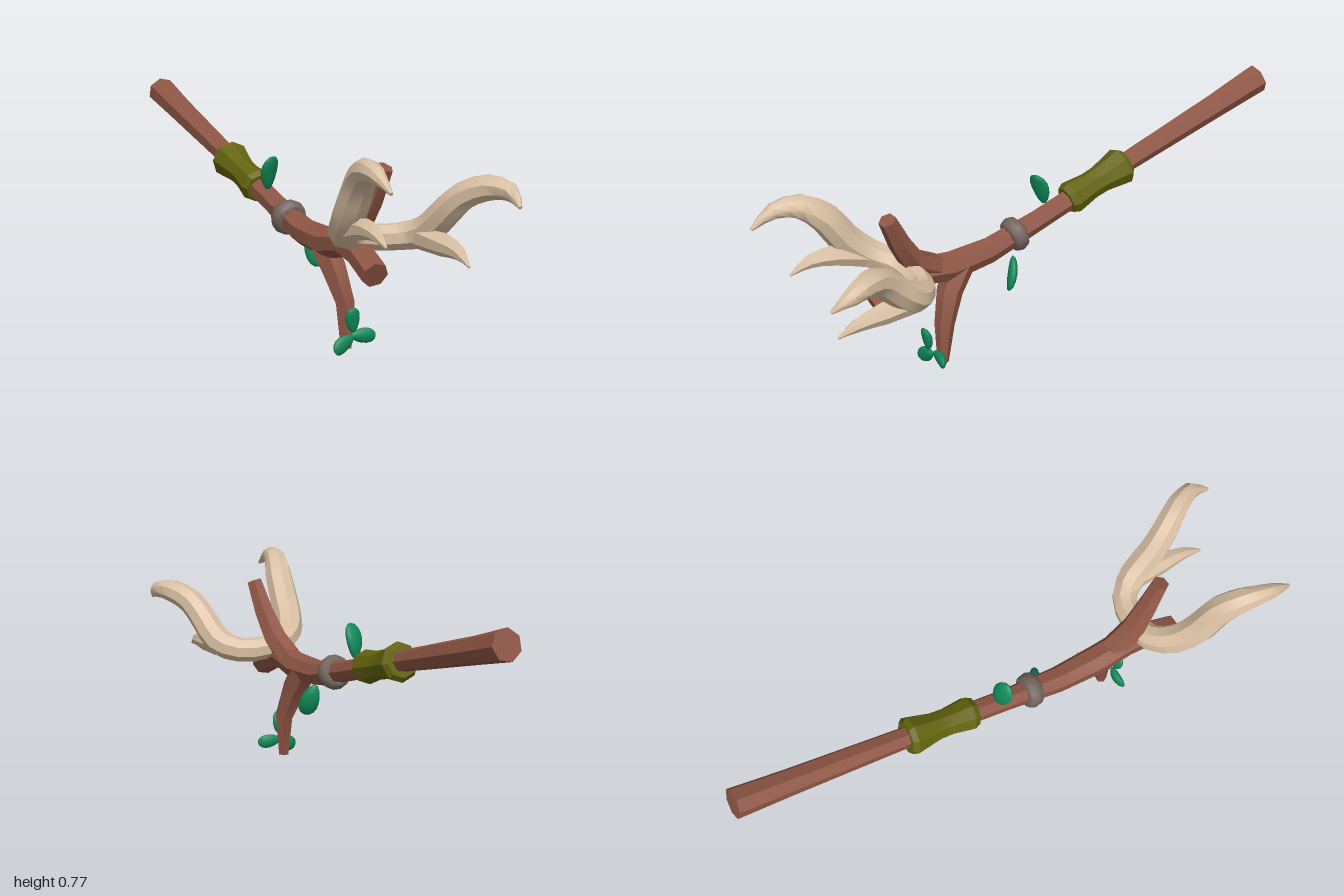
import * as THREE from 'three';
import { toCreasedNormals } from 'three/addons/utils/BufferGeometryUtils.js';

const mat = (name, color) => new THREE.MeshStandardMaterial({ name, color });

// Tapered limb: cross-section loops swept along [x, y, z, radius] points
function limb(points, sides, crease, steps = 1) {
  const curve = new THREE.CatmullRomCurve3(points.map(p => new THREE.Vector3(p[0], p[1], p[2])));
  const count = (points.length - 1) * steps;
  const pos = [], index = [];
  const normal = new THREE.Vector3(1, 0, 0.01), side = new THREE.Vector3();
  for (let i = 0; i <= count; i++) {
    const t = i / count;
    const k = Math.min(Math.floor(i / steps), points.length - 2);
    const r = THREE.MathUtils.lerp(points[k][3], points[k + 1][3], i / steps - k);
    const c = curve.getPoint(t), tangent = curve.getTangent(t);
    if (i === 0 && Math.abs(tangent.x) > 0.8) normal.set(0, 1, 0);
    normal.addScaledVector(tangent, -normal.dot(tangent)).normalize();
    side.crossVectors(tangent, normal);
    for (let j = 0; j < sides; j++) {
      const a = (j / sides) * Math.PI * 2;
      const v = c.clone().addScaledVector(normal, r * Math.cos(a)).addScaledVector(side, r * Math.sin(a));
      pos.push(v.x, v.y, v.z);
    }
  }
  for (let i = 0; i < count; i++) {
    for (let j = 0; j < sides; j++) {
      const n = (j + 1) % sides, a = i * sides, b = a + sides;
      index.push(a + j, a + n, b + n, a + j, b + n, b + j);
    }
  }
  // End caps
  const last = count * sides;
  for (let j = 1; j < sides - 1; j++) {
    index.push(0, j + 1, j, last, last + j, last + j + 1);
  }
  const g = new THREE.BufferGeometry();
  g.setAttribute('position', new THREE.Float32BufferAttribute(pos, 3));
  g.setIndex(index);
  return toCreasedNormals(g, crease);
}

// Plump leaf growing along +y, narrow at the base and slightly curled
function leafGeometry(width, length, thick, curl) {
  const g = new THREE.SphereGeometry(1, 12, 8);
  const p = g.attributes.position;
  for (let i = 0; i < p.count; i++) {
    const y = p.getY(i), taper = 0.85 + 0.2 * y;
    p.setXYZ(i, p.getX(i) * width / 2 * taper, y * length / 2,
      p.getZ(i) * thick / 2 + curl * (y * y - 0.5));
  }
  g.computeVertexNormals();
  return g;
}

export function createModel() {
  const model = new THREE.Group();
  model.name = 'branchStaff';
  const wood = mat('wood', 0x8f5645);
  const bone = mat('bone', 0xd8bfa2);
  const olive = mat('oliveWrap', 0x64640e);
  const green = mat('leafGreen', 0x0f8a5a);
  const grey = mat('greyBand', 0x75665f);

  const add = (name, geometry, material) => {
    const m = new THREE.Mesh(geometry, material);
    m.name = name;
    model.add(m);
    return m;
  };

  // Wooden shaft and its forks
  add('shaft', limb([
    [-0.09, 0.722, -0.983, 0.053], [-0.09, 0.665, -0.8, 0.046], [-0.09, 0.54, -0.38, 0.037],
    [-0.09, 0.42, 0, 0.038], [-0.09, 0.365, 0.2, 0.046], [-0.085, 0.355, 0.36, 0.052],
    [-0.08, 0.375, 0.47, 0.05], [-0.08, 0.35, 0.56, 0.045], [-0.085, 0.305, 0.66, 0.045],
  ], 7, 0.5), wood);
  add('upperFork', limb([
    [-0.08, 0.375, 0.42, 0.046], [-0.065, 0.43, 0.51, 0.046],
    [-0.045, 0.53, 0.57, 0.038], [-0.03, 0.635, 0.618, 0.03],
  ], 6, 0.5), wood);
  add('lowerFork', limb([
    [-0.085, 0.36, 0.31, 0.05], [-0.07, 0.27, 0.37, 0.046],
    [-0.048, 0.16, 0.408, 0.035], [-0.05, 0.01, 0.418, 0.02],
  ], 6, 0.5), wood);

  // Antlers: one long piece from tip to tip, plus a lower tine on each side
  add('antler', limb([
    [-0.235, 0.625, 1.0, 0.006], [-0.237, 0.668, 0.92, 0.028], [-0.222, 0.665, 0.83, 0.043],
    [-0.2, 0.61, 0.755, 0.052], [-0.195, 0.52, 0.695, 0.055], [-0.175, 0.45, 0.62, 0.052],
    [-0.12, 0.415, 0.55, 0.046], [-0.03, 0.398, 0.53, 0.044], [0.065, 0.395, 0.55, 0.045],
    [0.12, 0.42, 0.62, 0.052], [0.143, 0.49, 0.7, 0.05], [0.17, 0.55, 0.76, 0.047],
    [0.215, 0.583, 0.83, 0.042], [0.246, 0.578, 0.9, 0.03], [0.238, 0.54, 0.968, 0.006],
  ], 8, 0.75, 2), bone);
  add('lowerTineRight', limb([
    [-0.17, 0.44, 0.61, 0.045], [-0.18, 0.475, 0.74, 0.036],
    [-0.188, 0.475, 0.83, 0.023], [-0.19, 0.445, 0.9, 0.004],
  ], 7, 0.75, 2), bone);
  add('lowerTineLeft', limb([
    [0.11, 0.405, 0.6, 0.045], [0.117, 0.395, 0.73, 0.037],
    [0.118, 0.385, 0.82, 0.023], [0.11, 0.355, 0.89, 0.004],
  ], 7, 0.75, 2), bone);

  // Olive grip wrap, following the slope of the shaft
  const axis = new THREE.Vector3(0, 0.3, -1).normalize();
  const wrapProfile = [[0, -0.132], [0.05, -0.132], [0.06, -0.11], [0.049, -0.03], [0.05, 0.02],
    [0.069, 0.115], [0.055, 0.132], [0, 0.132]].map(p => new THREE.Vector2(...p));
  const wrap = add('gripWrap', toCreasedNormals(new THREE.LatheGeometry(wrapProfile, 8), 0.5), olive);
  wrap.position.set(-0.09, 0.5, -0.255);
  wrap.quaternion.setFromUnitVectors(new THREE.Vector3(0, 1, 0), axis);

  // Grey band around the shaft
  const band = add('band', new THREE.TorusGeometry(0.039, 0.024, 8, 14), grey);
  band.scale.z = 1.3;
  band.position.set(-0.09, 0.395, 0.09);
  band.quaternion.setFromUnitVectors(new THREE.Vector3(0, 0, 1), axis);

  // Leaves: name, width, length, thickness, curl, position, rotation
  const leaves = [
    ['upperLeaf', 0.085, 0.125, 0.034, 0.008, [-0.103, 0.533, -0.025], [0.3, 0.35, 0]],
    ['underLeaf', 0.08, 0.125, 0.034, -0.006, [-0.022, 0.288, 0.148], [2.95, 0.5, -0.25]],
    ['cloverTop', 0.062, 0.085, 0.03, 0.006, [-0.058, 0.118, 0.475], [0.15, 0, 0.1]],
    ['cloverRight', 0.064, 0.088, 0.03, 0.006, [-0.086, 0.038, 0.465], [0, 0.15, 2.1]],
    ['cloverLeft', 0.06, 0.088, 0.03, 0.006, [-0.008, 0.056, 0.455], [0, -0.15, -1.65]],
  ];
  for (const [name, w, l, t, curl, p, r] of leaves) {
    const leaf = add(name, leafGeometry(w, l, t, curl), green);
    leaf.position.set(...p);
    leaf.rotation.set(...r);
  }
  return model;
}
